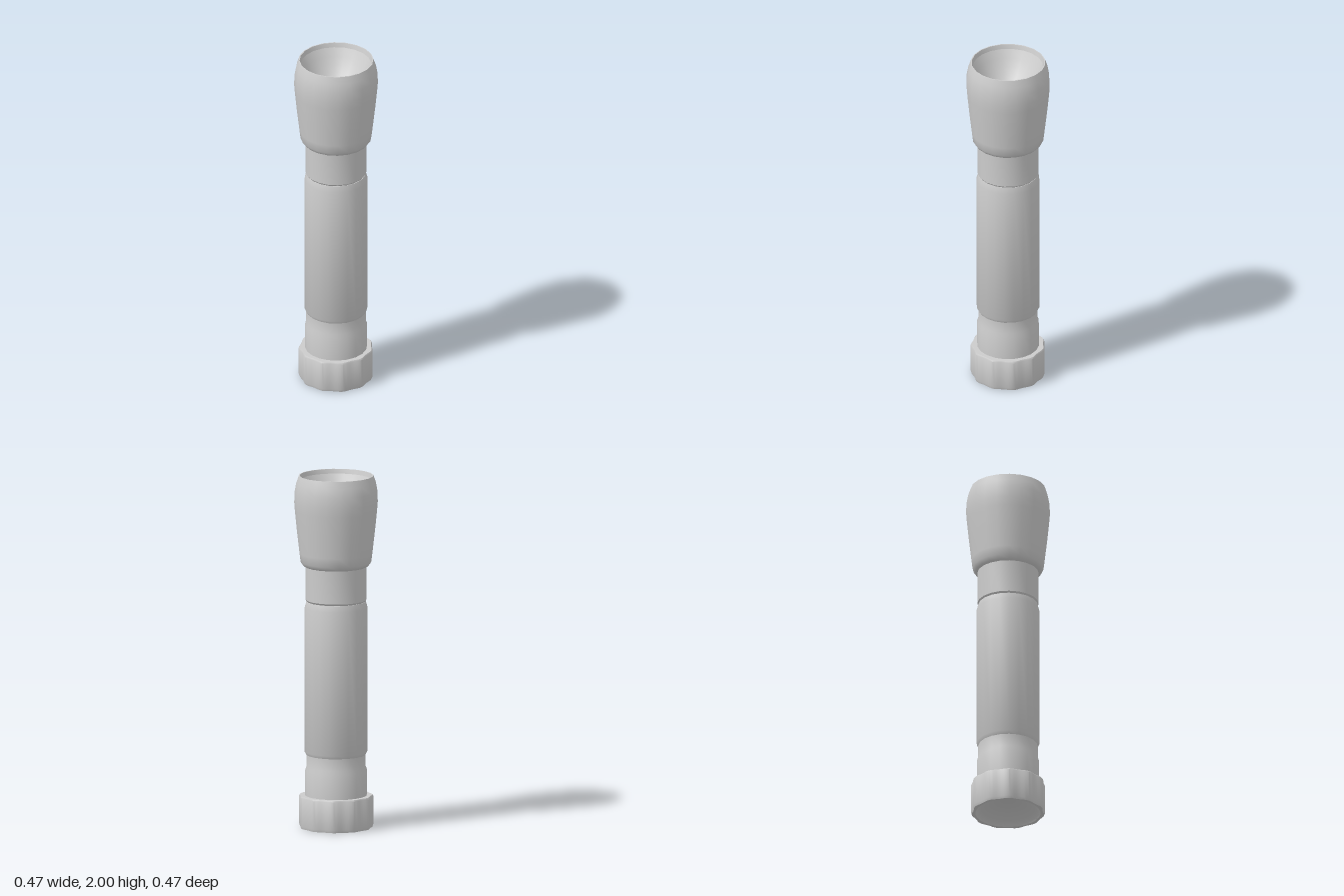
import * as THREE from 'three';
import { toCreasedNormals } from 'three/addons/utils/BufferGeometryUtils.js';

const material = new THREE.MeshStandardMaterial({ color: 0xcccccc });

// Profile of [radius, height] pairs, turned about the y axis
function turned(profile, segments = 20) {
  return new THREE.LatheGeometry(profile.map(([r, y]) => new THREE.Vector2(r, y)), segments);
}

// Points of a shallow bowl from its centre out to its rim
function bowl(radius, bottomY, rimY, steps = 8) {
  return Array.from({ length: steps + 1 }, (_, i) => {
    const t = i / steps;
    return [radius * t, bottomY + (rimY - bottomY) * t * t];
  });
}

export function createModel() {
  const group = new THREE.Group();
  const add = (name, geometry) => {
    const mesh = new THREE.Mesh(toCreasedNormals(geometry, 0.6), material);
    mesh.name = name;
    group.add(mesh);
  };

  // Tail cap with a hollow underside and softly scalloped grip
  const cap = turned([
    ...bowl(0.175, 0.08, 0.01), [0.182, 0], [0.2, 0], [0.205, 0.015], [0.205, 0.175], [0.2, 0.183], [0.165, 0.183],
  ], 88);
  const pos = cap.attributes.position;
  for (let i = 0; i < pos.count; i++) {
    const x = pos.getX(i), z = pos.getZ(i);
    if (Math.hypot(x, z) < 0.19) continue;
    const s = 1 + 0.022 * Math.cos(11 * Math.atan2(x, z) - Math.PI / 4);
    pos.setX(i, x * s);
    pos.setZ(i, z * s);
  }
  add('tailCap', cap);

  // Collar and groove above the cap
  add('tailCollar', turned([[0.174, 0.17], [0.174, 0.325], [0.167, 0.345], [0.167, 0.425]]));

  // Long grip barrel with bevelled ends
  add('barrel', turned([[0.165, 0.41], [0.177, 0.432], [0.177, 1.25], [0.167, 1.285], [0.16, 1.285]]));

  // Neck between barrel and head
  add('neck', turned([[0.16, 1.28], [0.172, 1.295], [0.172, 1.5]]));

  // Flared head, its rim and reflector bowl
  add('head', turned([
    [0.165, 1.48], [0.183, 1.488], [0.199, 1.51], [0.205, 1.56], [0.22, 1.69], [0.231, 1.8], [0.235, 1.85],
    [0.233, 1.91], [0.224, 1.96], [0.21, 2], [0.204, 2], [0.197, 1.975],
  ]));
  add('reflector', turned(bowl(0.197, 1.78, 1.975).reverse().map(([r, y]) => [r, y])));

  return group;
}
